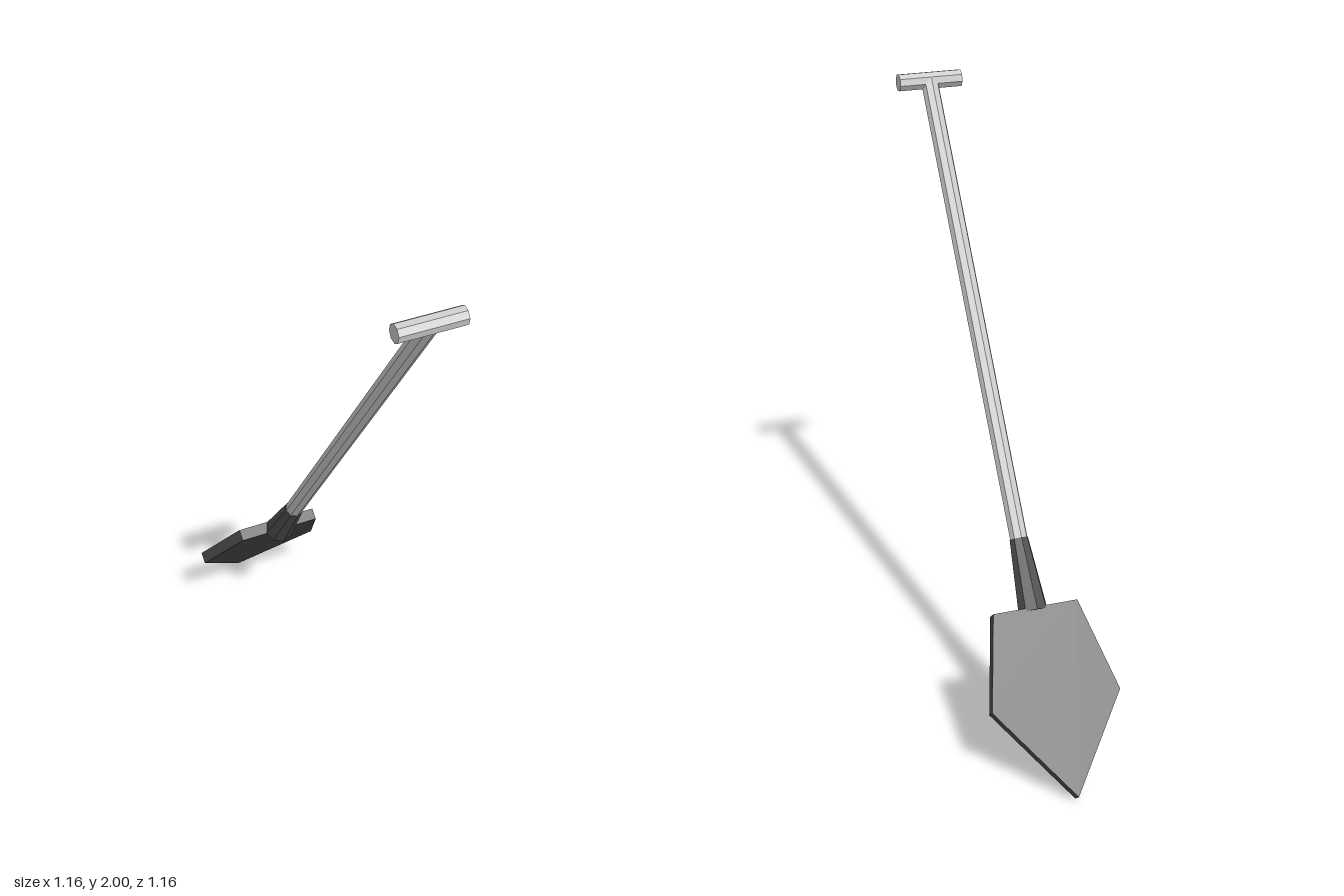
import * as THREE from 'three';

const material = (color) => new THREE.MeshStandardMaterial({ color, flatShading: true });

export function createModel() {
  const model = new THREE.Group();
  model.name = 'shovel';
  const pale = material(0xcccccc);
  const dark = material(0x4d4d4d);

  const add = (parent, name, geometry, mat) => {
    const mesh = new THREE.Mesh(geometry, mat);
    mesh.name = name;
    parent.add(mesh);
    return mesh;
  };

  // The whole shovel leans in the diagonal plane x = z
  const lean = new THREE.Group();
  lean.name = 'leaningShovel';
  lean.rotation.y = Math.PI / 4;
  model.add(lean);

  // Handle: its origin is where the shaft enters the socket
  const handle = new THREE.Group();
  handle.name = 'handle';
  handle.position.set(0, 0.665, -0.24);
  handle.rotation.x = 0.61;
  lean.add(handle);

  const length = 1.595;
  add(handle, 'shaft', new THREE.CylinderGeometry(0.03, 0.03, length, 8), pale).position.y = length / 2;

  const grip = add(handle, 'grip', new THREE.CylinderGeometry(0.03, 0.03, 0.22, 8), pale);
  grip.position.y = length;
  grip.rotation.z = Math.PI / 2;

  // Tapered socket
  add(handle, 'socket', new THREE.CylinderGeometry(0.032, 0.05, 0.24, 8), dark).position.y = -0.12;

  // Pointed five-sided blade, tilted a little more than the handle
  const outline = new THREE.Shape(
    [[-0.145, 0], [-0.219, -0.31], [0, -0.62], [0.219, -0.31], [0.145, 0]].map(([x, y]) => new THREE.Vector2(x, y))
  );
  const bladeGeometry = new THREE.ExtrudeGeometry(outline, { depth: 0.04, bevelEnabled: false });
  bladeGeometry.translate(0, 0, -0.04);
  const blade = add(lean, 'blade', bladeGeometry, dark);
  blade.position.set(0, 0.47, -0.371);
  blade.rotation.x = 0.71;

  return model;
}
